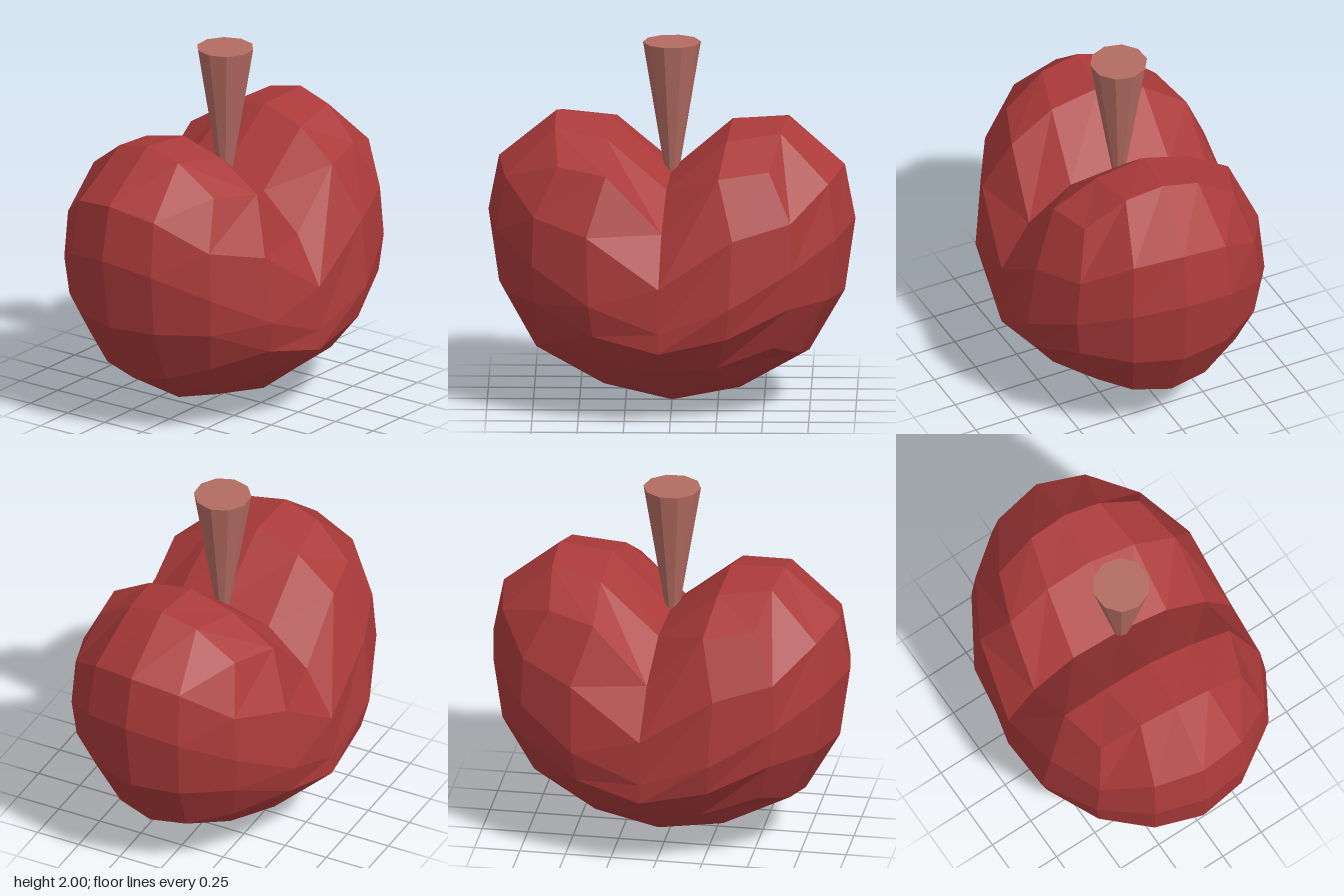
import * as THREE from 'three';

const red = new THREE.MeshStandardMaterial({ color: 0xab3a3a, flatShading: true });
red.name = 'fruitRed';
const brown = new THREE.MeshStandardMaterial({ color: 0xb26b61, flatShading: true });
brown.name = 'stemBrown';

// Rules per latitude, from the bottom pole to the top pole in steps of 22.5 degrees
const CLEFT_Y = [0, 0.1, 0.28, 0.42, 0.53, 0.78, 1.05, 1.24, 1.29]; // height where the lobes meet
const LOBE_Y = [0, 0.08, 0.3, 0.64, 1.04, 1.34, 1.6, 1.58, 1.29]; // height along the lobe's middle
const RISE = [1, 1, 1.2, 1.25, 1.3, 0.65, 0.5, 0.6, 0.6]; // how fast one blends to the other
const DEPTH = [0.97, 0.97, 1.06, 1.02, 1, 1.02, 0.89, 0.87, 0.87]; // z scale

function sample(table, k) {
  const i = Math.min(Math.floor(k), table.length - 2);
  return THREE.MathUtils.lerp(table[i], table[i + 1], k - i);
}

// Bend a point of the unit sphere into the two-lobed fruit
function bend(d) {
  const k = Math.acos(THREE.MathUtils.clamp(-d.y, -1, 1)) / (Math.PI / 8);
  const radius = Math.hypot(d.x, d.z);
  const r = radius > 1e-4 ? Math.min(1, Math.abs(d.z) / radius) : 0;
  const blend = r > 1e-4 ? Math.pow(r, sample(RISE, k)) : 0;
  const spread = d.y > 0 ? 1 + 1.6 * d.y * d.y * d.x * d.x * (1 - r) : 1;
  return new THREE.Vector3(
    THREE.MathUtils.clamp(0.75 * d.x, -0.69, 0.69),
    THREE.MathUtils.lerp(sample(CLEFT_Y, k), sample(LOBE_Y, k), blend),
    d.z * sample(DEPTH, k) * spread,
  );
}

function fruitGeometry() {
  // A cube with four cells per edge, rounded to a sphere and then bent
  const geometry = new THREE.BoxGeometry(2, 2, 2, 4, 4, 4).toNonIndexed();
  const pos = geometry.attributes.position;
  const even = (c) => Math.tan(c * Math.PI / 4);
  const d = new THREE.Vector3();
  for (let i = 0; i < pos.count; i++) {
    d.set(even(pos.getX(i)), even(pos.getY(i)), even(pos.getZ(i))).normalize();
    const p = bend(d);
    pos.setXYZ(i, p.x, p.y, p.z);
  }
  geometry.clearGroups();
  geometry.computeVertexNormals();
  return geometry;
}

export function createModel() {
  const model = new THREE.Group();
  model.name = 'fruit';

  // Two-lobed body, turned slightly about the upright axis
  const body = new THREE.Mesh(fruitGeometry(), red);
  body.name = 'body';
  body.rotation.y = -0.09;
  model.add(body);

  // Stem, widening upwards out of the cleft
  const stem = new THREE.Mesh(new THREE.CylinderGeometry(0.157, 0.025, 0.8, 10), brown);
  stem.name = 'stem';
  stem.position.set(0.008, 1.6, 0);
  stem.rotation.y = 0.05;
  model.add(stem);

  return model;
}
